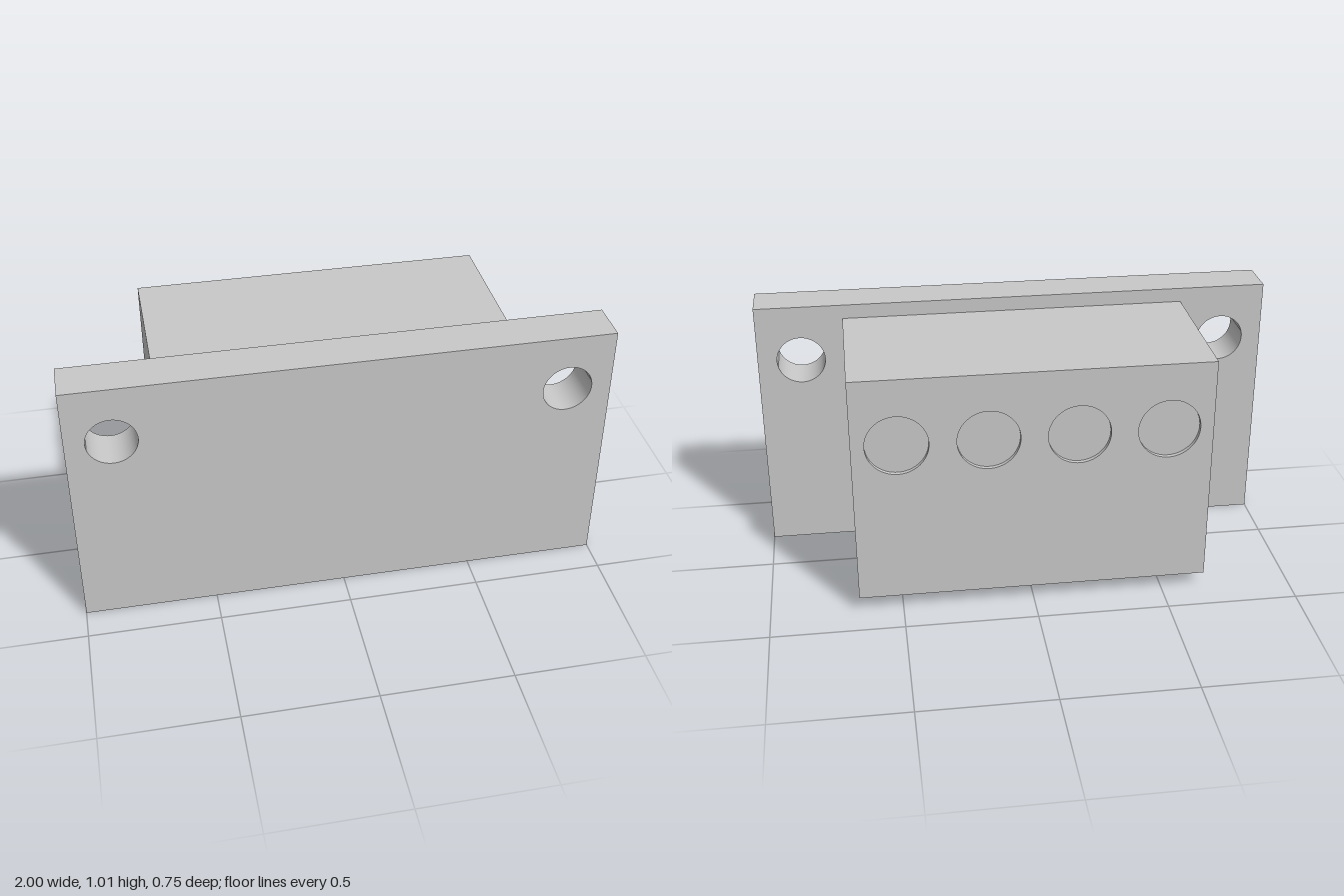
import * as THREE from 'three';

// Rectangular slab with round holes, extruded from z0 to z1
function slab(w, y0, y1, z0, z1, holes, r) {
  const shape = new THREE.Shape();
  shape.moveTo(-w / 2, y0);
  shape.lineTo(w / 2, y0);
  shape.lineTo(w / 2, y1);
  shape.lineTo(-w / 2, y1);
  shape.closePath();
  for (const [x, y] of holes) {
    const hole = new THREE.Path();
    hole.absarc(x, y, r, 0, Math.PI * 2, true);
    shape.holes.push(hole);
  }
  const geo = new THREE.ExtrudeGeometry(shape, {
    depth: z1 - z0, bevelEnabled: false, curveSegments: 48,
  });
  return geo.translate(0, 0, z0);
}

export function createModel() {
  const grey = new THREE.MeshStandardMaterial({ color: 0xc8c8c8 });
  grey.name = 'light grey';
  const model = new THREE.Group();
  model.name = 'mountingBlock';

  const add = (name, geo) => {
    const mesh = new THREE.Mesh(geo, grey);
    mesh.name = name;
    model.add(mesh);
  };

  const back = -0.375, pocketFloor = -0.358, plateBack = 0.21, front = 0.375;
  const bottom = 0.058, top = 0.955, width = 1.33;

  // Front plate with two through holes
  add('frontPlate', slab(2, 0, 1.01, plateBack, front,
    [[-0.833, 0.79], [0.833, 0.79]], 0.093));

  // Solid body behind the plate
  const body = new THREE.BoxGeometry(width, top - bottom, plateBack - pocketFloor);
  body.translate(0, (top + bottom) / 2, (plateBack + pocketFloor) / 2);
  add('body', body);

  // Rear skin whose four holes form the shallow round pockets
  const pockets = [-1.5, -0.5, 0.5, 1.5].map((i) => [i * 0.3325, 0.695]);
  add('rearPocketFace', slab(width, bottom, top, back, pocketFloor, pockets, 0.116));

  return model;
}
